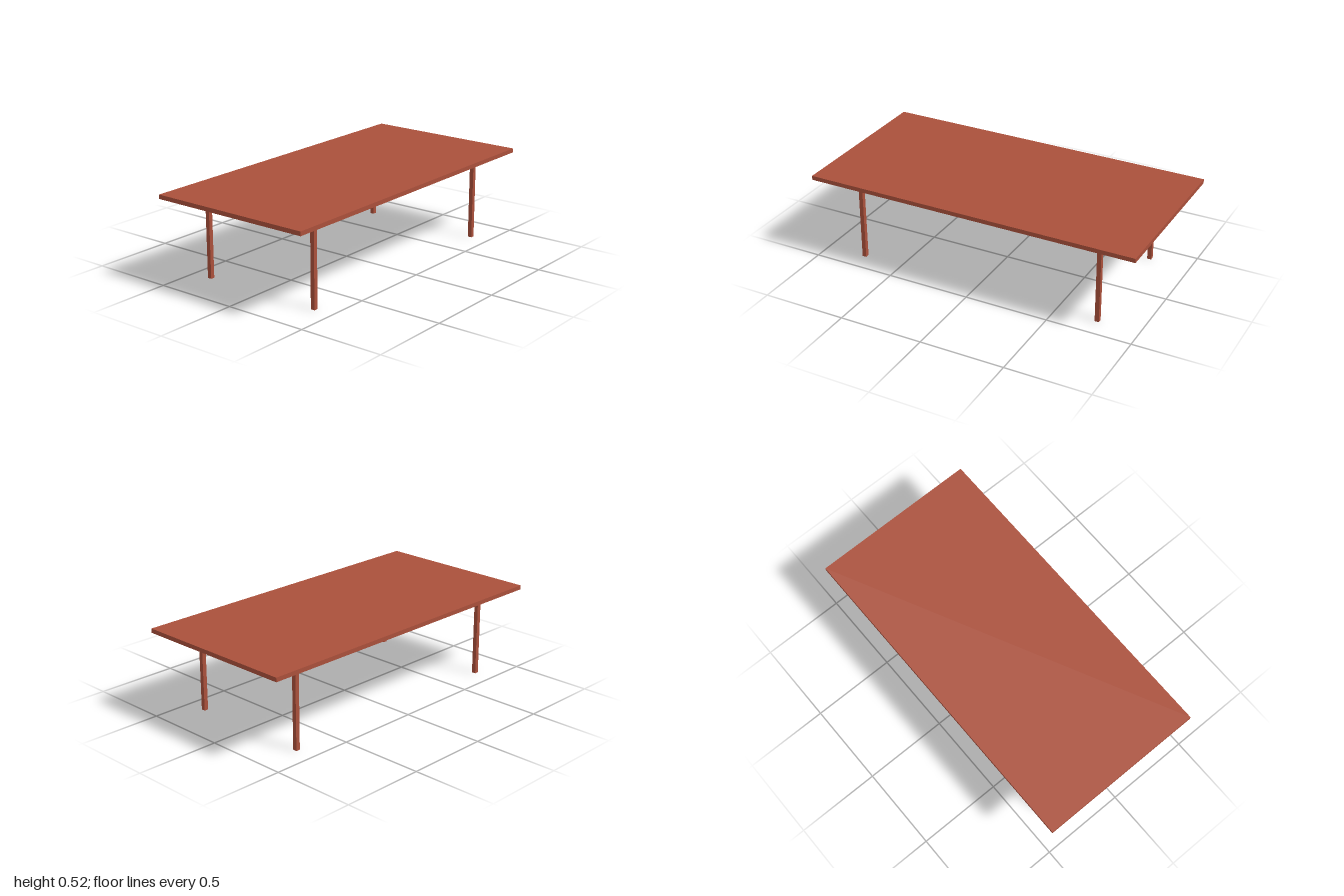
import * as THREE from 'three';

export function createModel() {
  const table = new THREE.Group();
  table.name = 'table';

  const wood = new THREE.MeshStandardMaterial({ color: 0xaa503b });
  wood.name = 'reddish brown wood';

  const legHeight = 0.5;
  const thickness = 0.025;

  // Tabletop
  const top = new THREE.Mesh(new THREE.BoxGeometry(2, thickness, 1), wood);
  top.name = 'tabletop';
  top.position.y = legHeight + thickness / 2;
  table.add(top);

  // Four square legs, inset from the corners
  const legGeometry = new THREE.BoxGeometry(thickness, legHeight, thickness);
  for (const [xName, x] of [['Left', 0.75], ['Right', -0.75]]) {
    for (const [zName, z] of [['front', 0.375], ['back', -0.375]]) {
      const leg = new THREE.Mesh(legGeometry, wood);
      leg.name = `${zName}${xName}Leg`;
      leg.position.set(x, legHeight / 2, z);
      table.add(leg);
    }
  }

  return table;
}
